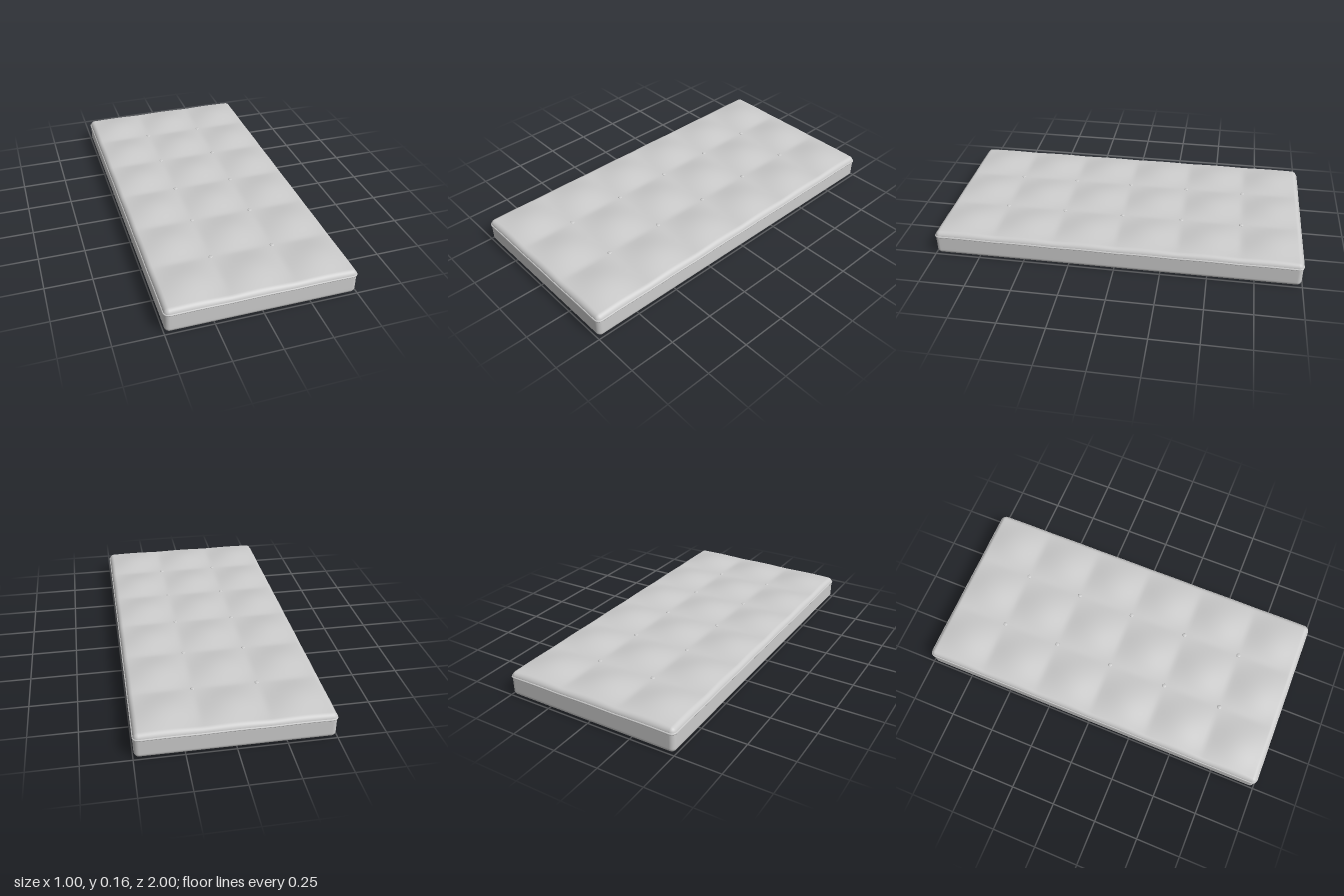
import * as THREE from 'three';
import { mergeVertices } from 'three/addons/utils/BufferGeometryUtils.js';

const HALF = { x: 0.495, y: 0.068, z: 0.995 };
const R = 0.026, STEPS = 5;
const material = new THREE.MeshStandardMaterial({ color: 0xcccccc });

// Quilting: 3 x 6 soft pillows that sink to zero along the seams
const ridge = (v) => Math.pow(Math.abs(Math.sin(3 * Math.PI * v)), 1.25);
const pillow = (x, z) => 0.021 * ridge(x + 0.5) * ridge(z + 1);

// Grid coordinate with dense steps inside the rounded ends
function gridCoord(v, n, half) {
  const i = Math.round((v + 0.5) * n);
  const j = Math.min(i, n - i);
  if (j < STEPS) {
    const c = half - R + R * Math.tan((1 - j / STEPS) * Math.PI / 4);
    return i < n / 2 ? -c : c;
  }
  return -(half - R) + 2 * (half - R) * (i - STEPS) / (n - 2 * STEPS);
}

// Rounded block whose top is raised into pillows
function mattressGeometry() {
  const n = { x: 70, y: 16, z: 130 };
  const geo = new THREE.BoxGeometry(1, 1, 1, n.x, n.y, n.z);
  const pos = geo.attributes.position;
  const p = new THREE.Vector3(), core = new THREE.Vector3();
  const limit = new THREE.Vector3(HALF.x - R, HALF.y - R, HALF.z - R);
  const low = limit.clone().negate();
  for (let i = 0; i < pos.count; i++) {
    p.fromBufferAttribute(pos, i);
    for (const a of ['x', 'y', 'z']) p[a] = gridCoord(p[a], n[a], HALF[a]);
    core.copy(p).clamp(low, limit);
    p.sub(core).setLength(R).add(core);
    p.y += HALF.y;
    p.y += pillow(p.x, p.z) * THREE.MathUtils.smoothstep(p.y, 0.108, 0.134);
    pos.setXYZ(i, p.x, p.y, p.z);
  }
  geo.deleteAttribute('uv');
  geo.deleteAttribute('normal');
  const smooth = mergeVertices(geo, 1e-5);
  smooth.computeVertexNormals();
  return smooth;
}

// Gently wavy cord around the upper edge
function pipingGeometry() {
  const x = HALF.x, z = HALF.z, r = R;
  const outline = new THREE.Shape();
  outline.moveTo(x - r, -z);
  outline.absarc(x - r, -z + r, r, -Math.PI / 2, 0);
  outline.absarc(x - r, z - r, r, 0, Math.PI / 2);
  outline.absarc(-x + r, z - r, r, Math.PI / 2, Math.PI);
  outline.absarc(-x + r, -z + r, r, Math.PI, Math.PI * 1.5);
  outline.closePath();
  const points = outline.getSpacedPoints(360).slice(0, -1).map((q) => {
    const along = Math.abs(q.x) > x - 0.01 ? q.y + 1 : q.x + 0.5;
    return new THREE.Vector3(q.x, 0.109 + 0.002 * ridge(along), q.y);
  });
  const path = new THREE.CatmullRomCurve3(points, true);
  return new THREE.TubeGeometry(path, 720, 0.005, 8, true);
}

export function createModel() {
  const model = new THREE.Group();
  model.name = 'mattress';
  const add = (name, geo) => {
    const mesh = new THREE.Mesh(geo, material);
    mesh.name = name;
    model.add(mesh);
    return mesh;
  };
  add('quiltedBody', mattressGeometry());
  add('piping', pipingGeometry());

  // Tufting buttons where the seams cross
  const button = new THREE.SphereGeometry(0.012, 16, 10).scale(1, 0.35, 1);
  for (const x of [-1 / 6, 1 / 6]) {
    for (let k = -2; k <= 2; k++) add('button', button).position.set(x, 0.136, k / 3);
  }
  return model;
}
